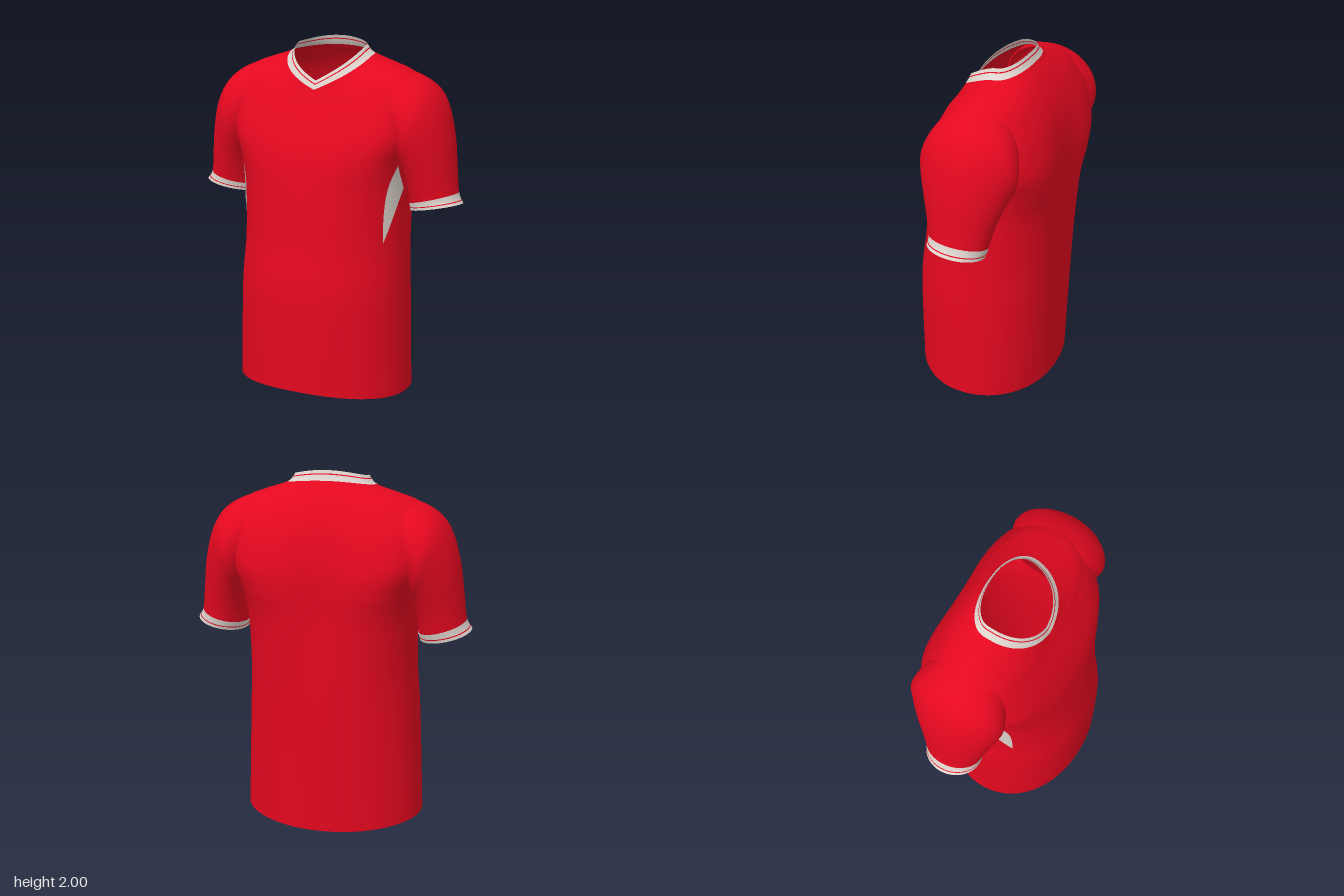
import * as THREE from 'three';

const red = new THREE.MeshStandardMaterial({ color: 0xe4081f, side: THREE.DoubleSide });
red.name = 'red cloth';
const white = new THREE.MeshStandardMaterial({ color: 0xdcd3cc, side: THREE.DoubleSide });
white.name = 'white trim';

// Torso rings, hem to collar top:
// half width, front z, back z, middle z, side y, front y, back y, squareness, V shape, spine dent
const TORSO = [
  [0.51, 0.42, -0.37, 0.00, 0.035, 0.08, 0.00, 2.1, 0, 0],
  [0.487, 0.42, -0.395, 0.00, 0.60, 0.60, 0.60, 2.2, 0, 0.01],
  [0.472, 0.385, -0.415, -0.02, 0.90, 0.90, 0.90, 2.2, 0, 0.025],
  [0.47, 0.35, -0.43, -0.04, 1.20, 1.20, 1.20, 2.5, 0, 0.04],
  [0.485, 0.325, -0.44, -0.06, 1.36, 1.36, 1.36, 3.1, 0, 0.045],
  [0.525, 0.28, -0.425, -0.07, 1.50, 1.50, 1.50, 3.7, 0, 0.03],
  [0.54, 0.225, -0.385, -0.08, 1.66, 1.62, 1.64, 3.3, 0, 0.01],
  [0.53, 0.20, -0.345, -0.07, 1.76, 1.67, 1.74, 2.7, 0, 0],
  [0.475, 0.187, -0.31, -0.07, 1.835, 1.70, 1.81, 2.4, 0.2, 0],
  [0.37, 0.175, -0.265, -0.07, 1.878, 1.722, 1.88, 2.2, 0.55, 0],
  [0.248, 0.163, -0.21, -0.07, 1.92, 1.742, 1.945, 2.2, 1, 0],
  [0.205, 0.14, -0.185, -0.07, 1.968, 1.79, 2.00, 2.2, 1, 0],
];

// Sleeve sections, shoulder to cuff: outer x, y, inner x, y, front z, back z, tilt
const SLEEVE = [
  [0.34, 1.865, 0.37, 1.46, 0.11, -0.27, 0],
  [0.48, 1.836, 0.44, 1.385, 0.168, -0.33, 0],
  [0.60, 1.768, 0.468, 1.32, 0.19, -0.352, 0],
  [0.67, 1.66, 0.482, 1.27, 0.172, -0.32, 0],
  [0.715, 1.50, 0.488, 1.215, 0.142, -0.283, 0],
  [0.737, 1.34, 0.492, 1.165, 0.118, -0.25, 0.005],
  [0.755, 1.195, 0.493, 1.125, 0.10, -0.228, 0.012],
  [0.785, 1.14, 0.50, 1.082, 0.10, -0.215, 0.016],
];

// Smooth interpolation between the rows of a table
function rowAt(table, t) {
  const last = table.length - 1;
  const i = Math.min(Math.floor(t), last - 1), f = t - i;
  const r = k => table[Math.max(0, Math.min(last, k))];
  return table[0].map((_, c) => {
    const [a, b, d, e] = [r(i - 1)[c], r(i)[c], r(i + 1)[c], r(i + 2)[c]];
    return b + 0.5 * f * (d - a + f * (2 * a - 5 * b + 4 * d - e + f * (3 * (b - d) + e - a)));
  });
}

function torsoPoint(angle, t) {
  const [hw, zf, zb, zm, ys, yf, yb, square, vee, dent] = rowAt(TORSO, t);
  const c = Math.cos(angle), s = Math.sin(angle), front = s >= 0;
  const p = 2 / square;
  const w = Math.sign(c) * Math.abs(c) ** p, u = Math.abs(s) ** p;
  const round = 1 - w * w;
  const pointed = Math.max(0, 1 - Math.abs(w)) ** 0.6;
  const drop = front ? round + (pointed - round) * vee : round;
  let z = zm + u * ((front ? zf : zb) - zm);
  if (!front) z += dent * Math.exp(-((w * hw / 0.18) ** 2));
  return [w * hw, ys + drop * ((front ? yf : yb) - ys), z];
}

function sleevePoint(side, angle, t) {
  const [ox, oy, ix, iy, zf, zb, tilt] = rowAt(SLEEVE, t);
  const c = Math.cos(angle) / 2, s = -side * Math.sin(angle) / 2;
  return [
    side * ((ox + ix) / 2 + c * (ox - ix)),
    (oy + iy) / 2 + c * (oy - iy) + 2 * s * tilt,
    (zf + zb) / 2 + s * (zf - zb),
  ];
}

// Surface from a rule point(u, v), u and v running 0..1; closed joins u around
function surface(name, material, point, nu, nv, closed = true) {
  const pos = [], index = [], cols = closed ? nu : nu + 1;
  for (let j = 0; j <= nv; j++)
    for (let i = 0; i < cols; i++) pos.push(...point(i / nu, j / nv));
  for (let j = 0; j < nv; j++)
    for (let i = 0; i < nu; i++) {
      const a = j * cols + i, b = j * cols + (i + 1) % cols;
      index.push(a, a + cols, b, b, a + cols, b + cols);
    }
  const geo = new THREE.BufferGeometry();
  geo.setAttribute('position', new THREE.Float32BufferAttribute(pos, 3));
  geo.setIndex(index);
  geo.computeVertexNormals();
  const mesh = new THREE.Mesh(geo, material);
  mesh.name = name;
  return mesh;
}

// Closed band of a loft between rows t0 and t1
const band = (name, material, rule, t0, t1, nv) =>
  surface(name, material, (u, v) => rule(u * Math.PI * 2, t0 + (t1 - t0) * v), 120, nv);

// White, thin red line, white
function trim(name, rule, t0) {
  const g = new THREE.Group();
  g.name = name;
  g.add(
    band(name + 'Lower', white, rule, t0, t0 + 0.5, 3),
    band(name + 'Stripe', red, rule, t0 + 0.5, t0 + 0.6, 1),
    band(name + 'Upper', white, rule, t0 + 0.6, t0 + 1, 3),
  );
  return g;
}

// Pointed panel on the side of the torso below the armpit
function sidePanel(side) {
  return surface('sidePanel', white, (u, v) => {
    const t = 2.1 + 1.9 * v;
    const [, zf, , zm, , , , square] = rowAt(TORSO, t);
    const zFront = 0.18 - 0.075 * v * v;
    const width = 0.145 * Math.min(v / 0.5, (1 - v) / 0.5);
    const z = zFront - width * (side > 0 ? 1 - u : u);
    const angle = Math.asin(((z - zm) / (zf - zm)) ** (square / 2));
    const p = torsoPoint(angle, t);
    return [side * (p[0] + 0.006 * Math.cos(angle)), p[1], p[2] + 0.006 * Math.sin(angle)];
  }, 8, 16, false);
}

export function createModel() {
  const shirt = new THREE.Group();
  shirt.name = 'shirt';
  shirt.add(band('torso', red, torsoPoint, 0, 10, 60), trim('collar', torsoPoint, 10));
  for (const side of [1, -1]) {
    const rule = (a, t) => sleevePoint(side, a, t);
    const arm = new THREE.Group();
    arm.name = side > 0 ? 'leftSleeve' : 'rightSleeve';
    arm.add(band('sleeve', red, rule, 0, 6, 36), trim('cuff', rule, 6), sidePanel(side));
    shirt.add(arm);
  }
  return shirt;
}
